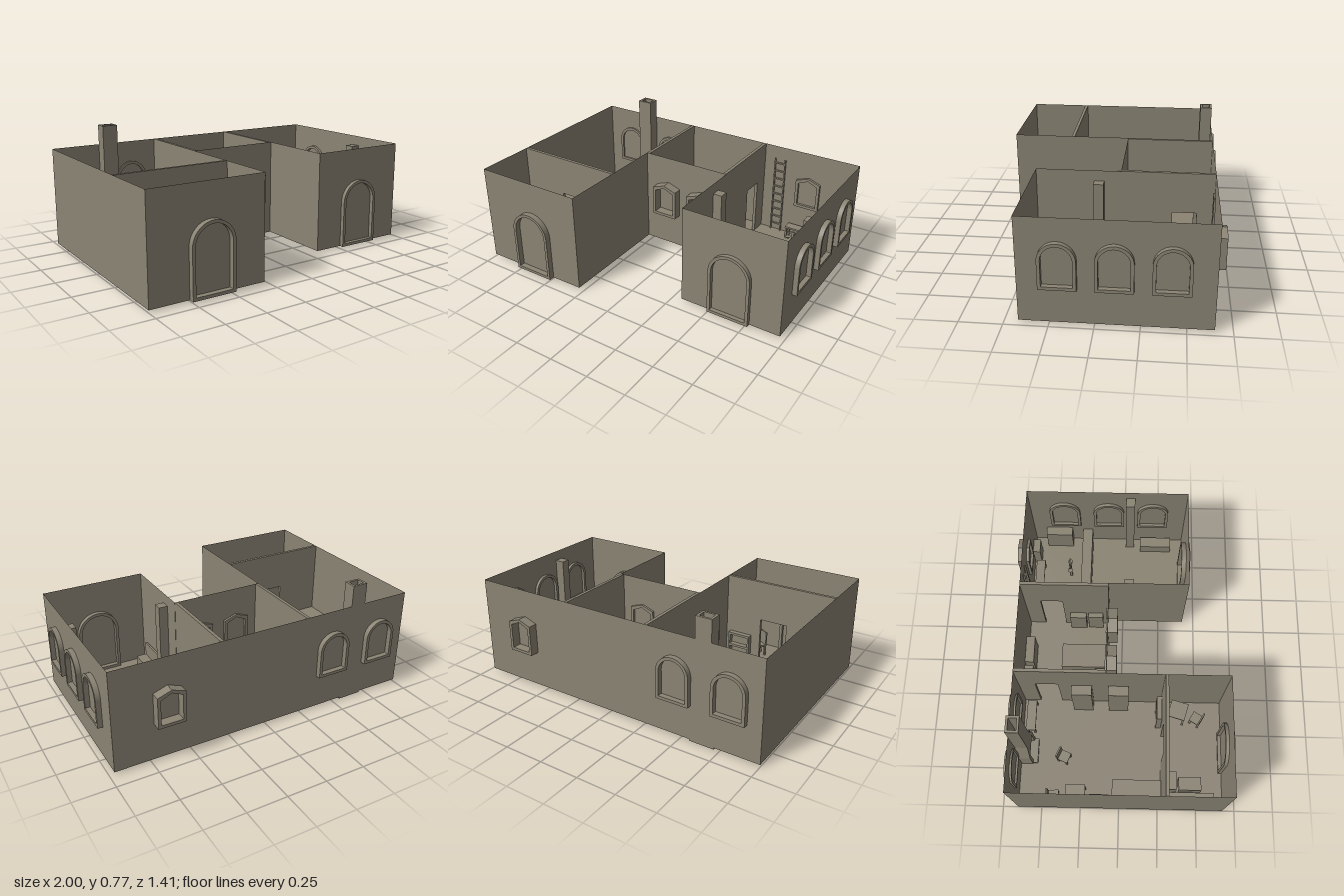
import * as THREE from 'three';

const stone = new THREE.MeshStandardMaterial({ color: 0x8b8474, side: THREE.DoubleSide });
stone.name = 'stone';
const FLOOR = 0.015, TOP = 0.645;

export function createModel() {
  const root = new THREE.Group();
  root.name = 'house';

  const add = (name, geo, parent = root) => {
    const m = new THREE.Mesh(geo, stone);
    m.name = name;
    parent.add(m);
    return m;
  };
  // Box given by its limits
  const box = (name, x0, x1, y0, y1, z0, z1, parent) =>
    add(name, new THREE.BoxGeometry(x1 - x0, y1 - y0, z1 - z0)
      .translate((x0 + x1) / 2, (y0 + y1) / 2, (z0 + z1) / 2), parent);
  const extrude = (shape, depth) =>
    new THREE.ExtrudeGeometry(shape, { depth, bevelEnabled: false, curveSegments: 14 });
  const polygon = (pts) => new THREE.Shape(pts.map(([x, y]) => new THREE.Vector2(x, y)));

  // Floor and the single-skin outer walls follow one U-shaped outline
  const outline = [[-1, -0.65], [-1, 0.67], [-0.28, 0.67], [-0.28, -0.09],
    [0.315, -0.09], [0.315, 0.42], [0.97, 0.42], [0.97, -0.65]];
  const floor = polygon(outline.map(([x, z]) => [x, -z]));
  add('floor', new THREE.ShapeGeometry(floor).rotateX(-Math.PI / 2).translate(0, FLOOR, 0));
  outline.forEach(([x0, z0], i) => {
    const [x1, z1] = outline[(i + 1) % outline.length];
    const wall = add('outerWall', new THREE.PlaneGeometry(Math.hypot(x1 - x0, z1 - z0), TOP - FLOOR));
    wall.position.set((x0 + x1) / 2, (TOP + FLOOR) / 2, (z0 + z1) / 2);
    wall.rotation.y = Math.atan2(z0 - z1, x1 - x0);
  });

  // Inner walls, each with a doorway from d0 to d1
  const partition = (len, d0, d1) => extrude(polygon([[0, FLOOR], [d0, FLOOR], [d0, 0.39],
    [d1, 0.39], [d1, FLOOR], [len, FLOOR], [len, TOP], [0, TOP]]), 0.02);
  add('southPartition', partition(0.72, 0.3, 0.48)).position.set(-1, 0, 0.27);
  for (const x of [-0.28, 0.293]) {
    const p = add('sidePartition', partition(0.56, 0.105, 0.25));
    p.rotation.y = -Math.PI / 2;
    p.position.set(x + 0.02, 0, -0.65);
  }

  // Frames: arched or gabled rings standing through the wall
  const arch = (C, w, y0, y1) => {
    const r = w / 2, s = new C();
    s.moveTo(-r, y0);
    s.lineTo(r, y0);
    s.lineTo(r, y1 - r);
    s.absarc(0, y1 - r, r, 0, Math.PI, false);
    s.lineTo(-r, y0);
    return s;
  };
  const gable = (C, w, y0, y1) => new C([[-w / 2, y0], [w / 2, y0], [w / 2, y1 - 0.03], [0, y1], [-w / 2, y1 - 0.03]]
    .map(([x, y]) => new THREE.Vector2(x, y)));
  const frame = (name, form, w, y0, y1, depth, x, z, turn = 0, t = 0.019) => {
    const s = form(THREE.Shape, w, y0, y1);
    s.holes.push(form(THREE.Path, w - 2 * t, y0 + t, y1 - t));
    const m = add(name, extrude(s, depth).translate(0, 0, -depth / 2));
    m.position.set(x, 0, z);
    m.rotation.y = turn;
  };
  frame('frontDoorFrame', arch, 0.27, FLOOR, 0.44, 0.057, -0.625, 0.677);
  frame('frontDoorFrame', arch, 0.27, FLOOR, 0.44, 0.057, 0.64, 0.418);
  for (const z of [-0.415, -0.11, 0.195])
    frame('sideWindowFrame', arch, 0.21, 0.23, 0.508, 0.05, 0.975, z, Math.PI / 2);
  for (const x of [-0.807, -0.46])
    frame('backWindowFrame', arch, 0.21, 0.23, 0.508, 0.045, x, -0.66);
  frame('backGableWindow', gable, 0.17, 0.245, 0.47, 0.075, 0.64, -0.67);
  for (const x of [-0.112, 0.145])
    frame('courtGableWindow', gable, 0.172, 0.245, 0.47, 0.075, x, -0.0675);

  // Fireplace with sloping hood and hollow chimney
  box('hearth', -0.715, -0.555, 0, 0.035, -0.645, -0.54);
  for (const x of [-0.72, -0.57]) box('fireplaceCheek', x, x + 0.025, FLOOR, 0.2, -0.645, -0.57);
  add('hood', extrude(polygon([[-0.72, 0.2], [-0.545, 0.2], [-0.585, 0.36], [-0.685, 0.36]]), 0.078)
    .translate(0, 0, -0.648));
  const flue = polygon([[-0.05, -0.039], [0.05, -0.039], [0.05, 0.039], [-0.05, 0.039]]);
  flue.holes.push(polygon([[-0.035, -0.025], [-0.035, 0.025], [0.035, 0.025], [0.035, -0.025]]));
  add('chimney', extrude(flue, 0.415).rotateX(-Math.PI / 2).translate(-0.635, 0.36, -0.609));

  // Solid furniture: name, x0, x1, z0, z1, height
  const solids = [
    ['counter', -0.998, -0.835, -0.045, 0.268, 0.16],
    ['crate', -0.98, -0.925, -0.19, -0.065, 0.12],
    ['cabinet', -0.345, -0.282, -0.315, -0.185, 0.38],
    ['cabinet', -0.345, -0.282, -0.08, 0.05, 0.38],
    ['southBed', -0.99, -0.9, 0.325, 0.61, 0.1],
    ['chest', -0.885, -0.77, 0.3, 0.37, 0.12],
    ['chest', -0.885, -0.8, 0.385, 0.53, 0.1],
    ['bed', -0.065, 0.1, -0.41, -0.095, 0.1],
    ['chest', -0.18, -0.075, -0.18, -0.115, 0.1],
    ['lowCabinet', -0.24, -0.095, -0.648, -0.59, 0.2],
    ['lowCabinet', -0.07, 0.11, -0.648, -0.59, 0.2],
    ['sideCabinet', 0.255, 0.293, -0.36, -0.25, 0.2],
    ['sideCabinet', 0.26, 0.293, -0.235, -0.135, 0.2],
    ['post', 0.317, 0.375, 0.01, 0.07, 0.58],
    ['post', 0.905, 0.968, 0.01, 0.07, 0.58],
    ['storeBox', 0.765, 0.865, -0.648, -0.6, 0.18],
    ['storeBox', 0.905, 0.968, -0.56, -0.375, 0.18],
    ['shopCounter', 0.48, 0.968, -0.3, -0.23, 0.16],
    ['pew', 0.335, 0.41, 0.11, 0.33, 0.09],
    ['pewBack', 0.33, 0.343, 0.11, 0.33, 0.18],
    ['pew', 0.87, 0.945, 0.115, 0.335, 0.09],
  ];
  for (const [name, x0, x1, z0, z1, h] of solids) box(name, x0, x1, FLOOR, h, z0, z1);

  // Open shelf by the doorway
  for (const y of [0.002, 0.085, 0.17, 0.25]) box('shelfBoard', -0.46, -0.31, y, y + 0.015, 0.235, 0.269);
  for (const x of [-0.46, -0.322]) box('shelfSide', x, x + 0.012, 0.002, 0.265, 0.235, 0.269);

  // Tables, benches and chairs on four legs
  const legged = (name, x, z, w, d, h, turn = 0, back = 0) => {
    const g = new THREE.Group();
    g.name = name;
    g.position.set(x, FLOOR, z);
    g.rotation.y = turn;
    root.add(g);
    box('top', -w / 2, w / 2, h - 0.012, h, -d / 2, d / 2, g);
    for (const sx of [-1, 1]) for (const sz of [-1, 1]) {
      const cx = sx * (w / 2 - 0.008), cz = sz * (d / 2 - 0.008);
      box('leg', cx - 0.006, cx + 0.006, 0, h - 0.01, cz - 0.006, cz + 0.006, g);
    }
    if (back) box('backrest', -w / 2, w / 2, h, h + back, -d / 2, -d / 2 + 0.01, g);
  };
  legged('table', -0.93, -0.278, 0.12, 0.125, 0.14);
  legged('table', -0.37, 0.38, 0.115, 0.115, 0.14, -0.28);
  legged('bench', -0.41, -0.592, 0.205, 0.062, 0.09);
  legged('bench', 0.635, -0.597, 0.205, 0.062, 0.09);
  legged('chair', -0.935, -0.425, 0.07, 0.075, 0.08, 0.05, 0.09);
  legged('chair', -0.68, -0.365, 0.07, 0.075, 0.08, -0.4, 0.09);
  legged('chair', -0.41, 0.505, 0.07, 0.075, 0.08, 2.6, 0.09);

  // Balance scales on the shop floor
  box('scaleStand', 0.662, 0.678, FLOOR, 0.2, -0.388, -0.372);
  box('scaleBeam', 0.63, 0.71, 0.185, 0.195, -0.385, -0.375);
  for (const x of [0.637, 0.703])
    add('scalePan', new THREE.CylinderGeometry(0.018, 0.01, 0.012, 10)).position.set(x, 0.15, -0.38);

  // Ladder on the back wall
  for (const x of [0.39, 0.462]) box('ladderRail', x, x + 0.008, FLOOR, 0.56, -0.645, -0.633);
  for (let i = 0; i < 9; i++) box('ladderRung', 0.39, 0.47, 0.06 + i * 0.058, 0.07 + i * 0.058, -0.643, -0.635);

  return root;
}
